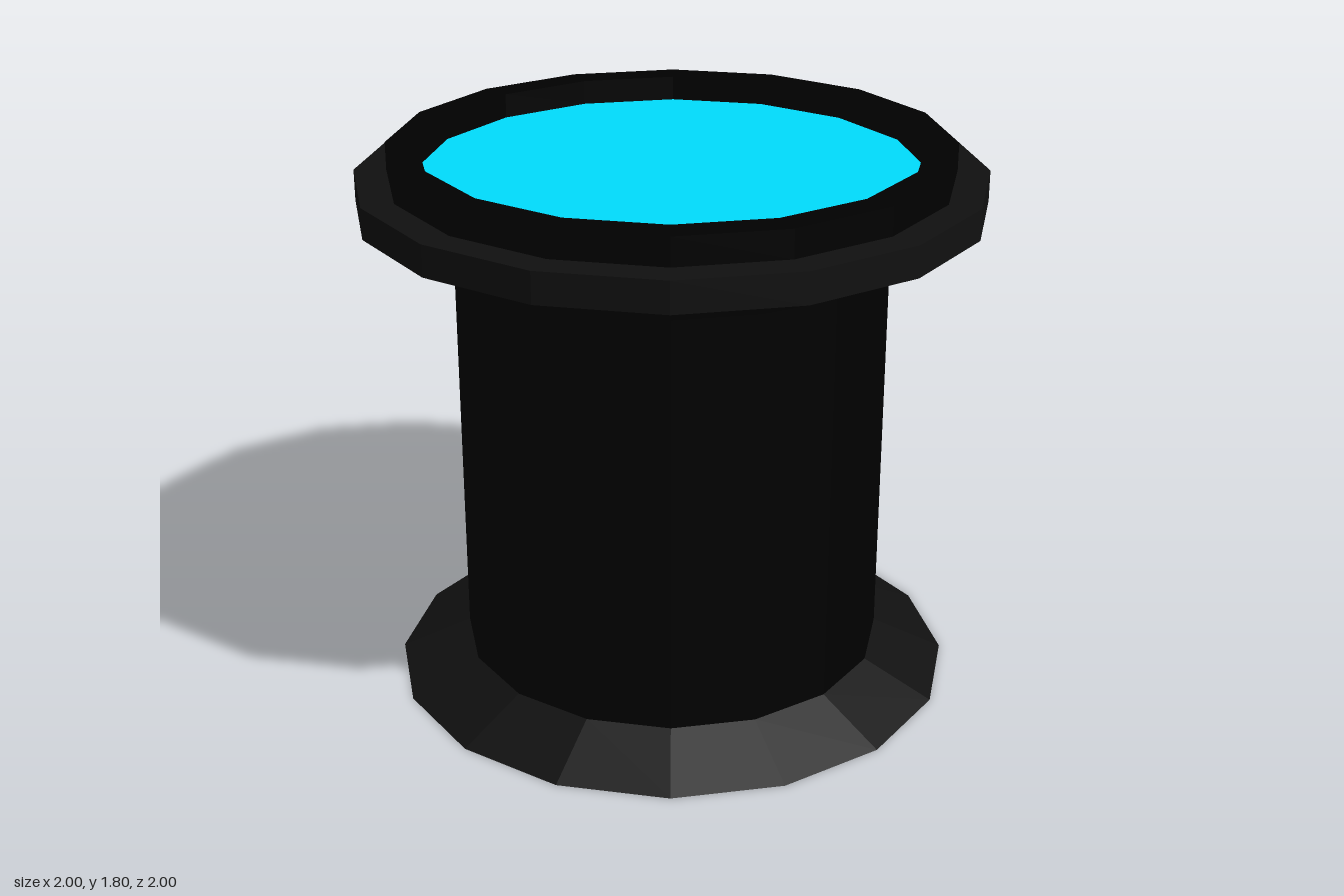
import * as THREE from 'three';

const SIDES = 16;

function material(color, side = THREE.FrontSide) {
  return new THREE.MeshStandardMaterial({ color, side, flatShading: true });
}

// Sixteen-sided ring or shell turned from [radius, height] points
function turned(name, profile, mat) {
  const points = profile.map(([r, y]) => new THREE.Vector2(r, y));
  const mesh = new THREE.Mesh(new THREE.LatheGeometry(points, SIDES), mat);
  mesh.name = name;
  return mesh;
}

export function createModel() {
  const model = new THREE.Group();
  model.name = 'pedestal';
  const dark = material(0x000000, THREE.DoubleSide);
  const trim = material(0x101010, THREE.DoubleSide);

  // Hollow column with a thin wall, open at the bottom
  model.add(turned('column', [[0.675, 1.48], [0.675, 0.105], [0.697, 0.105], [0.697, 1.48]], dark));

  // Thin flared skirt
  model.add(turned('foot', [[0.927, 0], [0.697, 0.105]], trim));

  // Head: flared collar, lighter flange, raised rim around a recess
  model.add(turned('collar', [[0.697, 1.48], [1, 1.615]], dark));
  model.add(turned('flange', [[1, 1.615], [1, 1.715], [0.897, 1.715]], trim));
  model.add(turned('rim', [[0.897, 1.715], [0.897, 1.805], [0.797, 1.805], [0.797, 1.725]], dark));

  // Recessed coloured panel and the dark ceiling beneath it
  model.add(turned('topPanel', [[0.797, 1.725], [0, 1.725]], material(0x00dcfd)));
  model.add(turned('ceiling', [[0, 1.71], [0.897, 1.71]], dark));

  return model;
}
